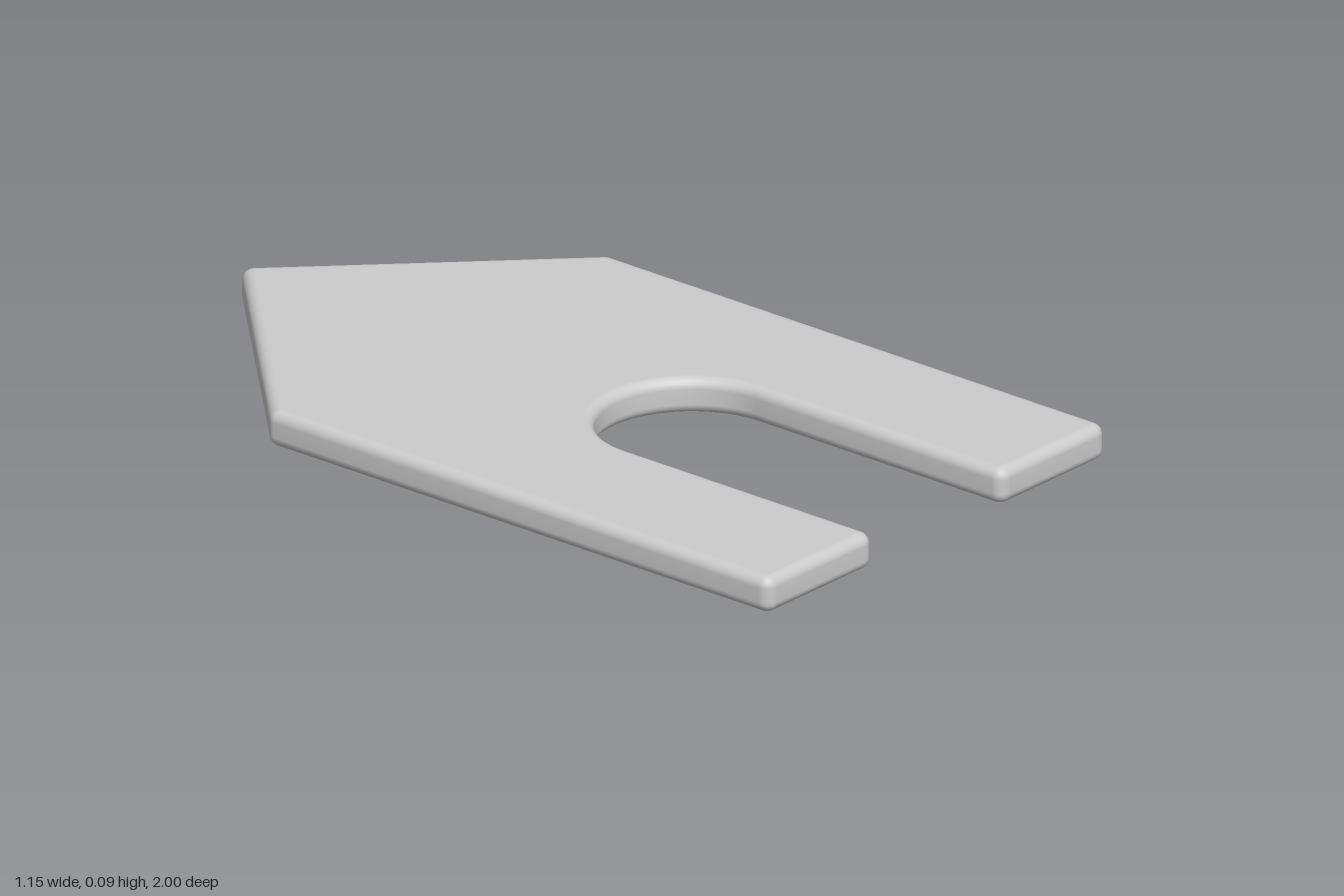
import * as THREE from 'three';
import { mergeVertices } from 'three/addons/utils/BufferGeometryUtils.js';

const HALF_WIDTH = 0.573, THICKNESS = 0.085;
const SLOT_RADIUS = 0.215, SLOT_CENTRE = -0.29;
const BEVEL = 0.025;            // rounding of the top and bottom edges
const TIP = 0.003;              // corner radius left after the bevel inset
const CORNER = BEVEL + TIP;     // full corner radius in plan

// Plan outline, inset by the bevel: pointed at the back, slotted at the front
function plateOutline() {
  const shape = new THREE.Shape();
  const q = Math.PI / 4;
  const outer = HALF_WIDTH - CORNER, inner = SLOT_RADIUS + CORNER;
  const foot = -1 + CORNER, apex = 1 - CORNER, shoulder = apex - outer;
  // corner centre x, y, then start and end angle in eighths of a turn
  const corners = [
    [inner, foot, 4, 6], [outer, foot, 6, 8],
    [outer, shoulder, 0, 1], [0, apex, 1, 3], [-outer, shoulder, 3, 4],
    [-outer, foot, 4, 6], [-inner, foot, 6, 8],
  ];
  for (const [x, y, a, b] of corners) shape.absarc(x, y, TIP, a * q, b * q, false);
  // round end of the slot
  shape.absarc(0, SLOT_CENTRE, SLOT_RADIUS + BEVEL, Math.PI, 0, true);
  shape.closePath();
  return shape;
}

export function createModel() {
  const group = new THREE.Group();
  group.name = 'slottedPlate';

  let geometry = new THREE.ExtrudeGeometry(plateOutline(), {
    depth: THICKNESS - 2 * BEVEL,
    bevelSize: BEVEL, bevelThickness: BEVEL, bevelSegments: 6,
    curveSegments: 12,
  });
  geometry.rotateX(-Math.PI / 2);
  geometry.translate(0, BEVEL, 0);

  // Smooth normals across the rounded edges
  geometry.deleteAttribute('uv');
  geometry.deleteAttribute('normal');
  geometry = mergeVertices(geometry, 1e-5);
  geometry.computeVertexNormals();

  const plate = new THREE.Mesh(geometry, new THREE.MeshStandardMaterial({ color: 0xcccccc }));
  plate.name = 'plate';
  group.add(plate);
  return group;
}
